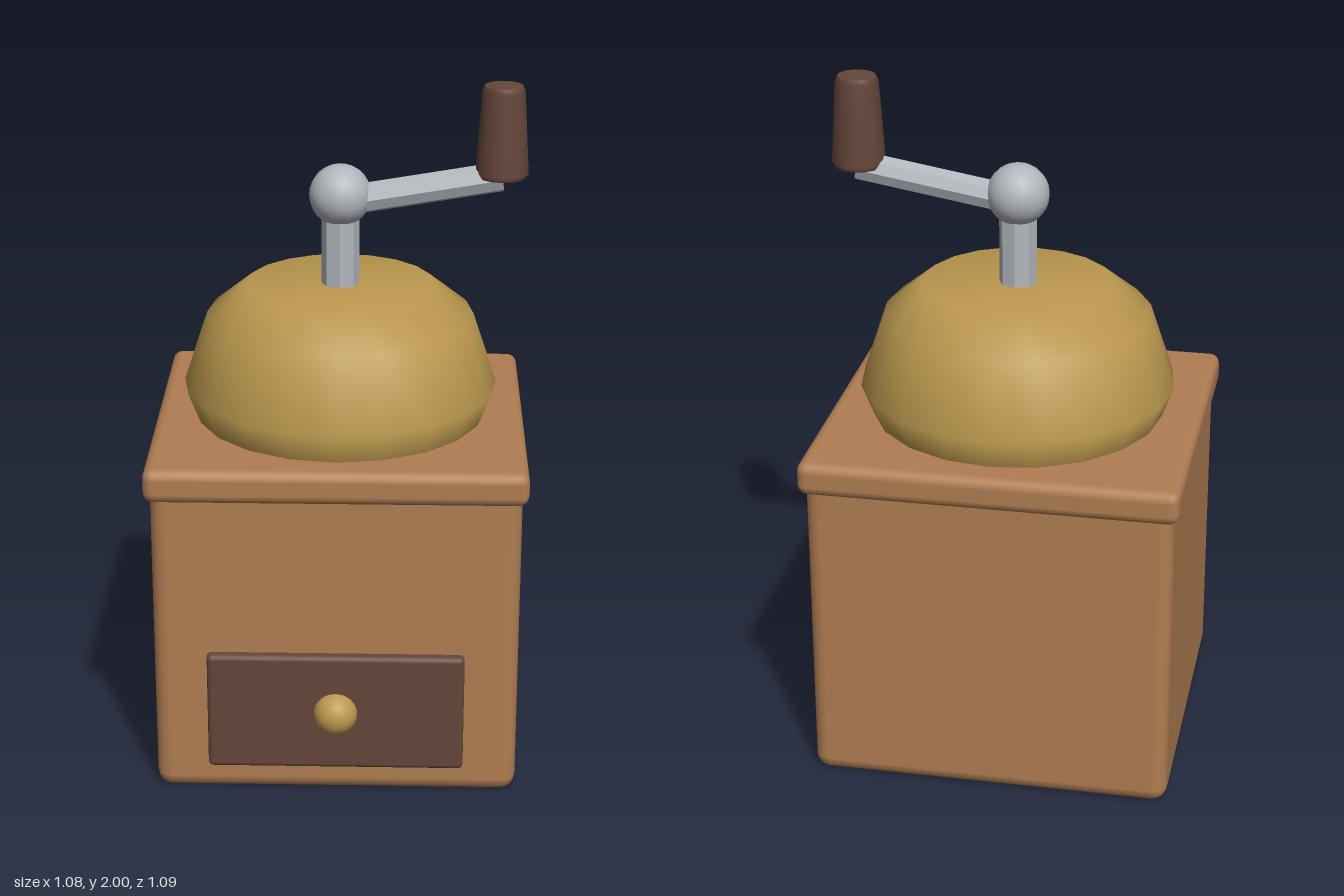
import * as THREE from 'three';
import { RoundedBoxGeometry } from 'three/addons/geometries/RoundedBoxGeometry.js';

const CZ = -0.033; // depth of the crank axis and the box centre

const wood = new THREE.MeshStandardMaterial({ color: 0xb07d52 });
const darkWood = new THREE.MeshStandardMaterial({ color: 0x65463a });
const brass = new THREE.MeshStandardMaterial({ color: 0xbb984e });
const steel = new THREE.MeshStandardMaterial({ color: 0xb2b6bc });
const facetedSteel = new THREE.MeshStandardMaterial({ color: 0xb2b6bc, flatShading: true });

export function createModel() {
  const group = new THREE.Group();

  const add = (name, geometry, material, x, y, z) => {
    const mesh = new THREE.Mesh(geometry, material);
    mesh.name = name;
    mesh.position.set(x, y, z);
    group.add(mesh);
    return mesh;
  };
  const box = (w, h, d, r) => new RoundedBoxGeometry(w, h, d, 2, r);
  const lathe = (points, sides) =>
    new THREE.LatheGeometry(points.map(([r, y]) => new THREE.Vector2(r, y)), sides);

  // Octagonal rod between two points
  const rod = (name, from, to, radius) => {
    const a = new THREE.Vector3(...from), b = new THREE.Vector3(...to);
    const dir = b.clone().sub(a);
    const mid = a.add(b).multiplyScalar(0.5);
    const mesh = add(name, new THREE.CylinderGeometry(radius, radius, dir.length(), 8),
      facetedSteel, mid.x, mid.y, mid.z);
    mesh.quaternion.setFromUnitVectors(new THREE.Vector3(0, 1, 0), dir.normalize());
  };

  // Wooden case and its overhanging lid
  add('body', box(1.05, 0.99, 0.985, 0.045), wood, 0, 0.5, CZ);
  add('lid', box(1.084, 0.1, 1.02, 0.03), wood, 0, 0.97, CZ);

  // Drawer with a round knob
  add('drawer', box(0.74, 0.36, 0.1, 0.015), darkWood, 0, 0.276, 0.438);
  add('drawerKnob', new THREE.SphereGeometry(0.064, 20, 14), brass, 0, 0.276, 0.483);

  // Brass hopper dome with a flat crown
  add('dome', lathe([
    [0, 1.0], [0.415, 1.0], [0.425, 1.02], [0.46, 1.11],
    [0.39, 1.32], [0.276, 1.412], [0, 1.412],
  ], 20), brass, 0, 0, CZ);

  // Crank: post, ball joint and sloping arm
  rod('crankPost', [0, 1.38, CZ], [0, 1.67, CZ], 0.055);
  add('crankBall', new THREE.SphereGeometry(0.09, 20, 14), steel, 0, 1.677, CZ);
  rod('crankArm', [0, 1.657, CZ], [0.463, 1.735, CZ], 0.044);

  // Tapered grip with softened rims; doubled points keep the caps crisp
  add('crankHandle', lathe([
    [0, 1.735], [0.07, 1.735], [0.07, 1.735], [0.077, 1.75],
    [0.062, 1.985], [0.055, 2.0], [0.055, 2.0], [0, 2.0],
  ], 14), darkWood, 0.462, 0, CZ);

  return group;
}
